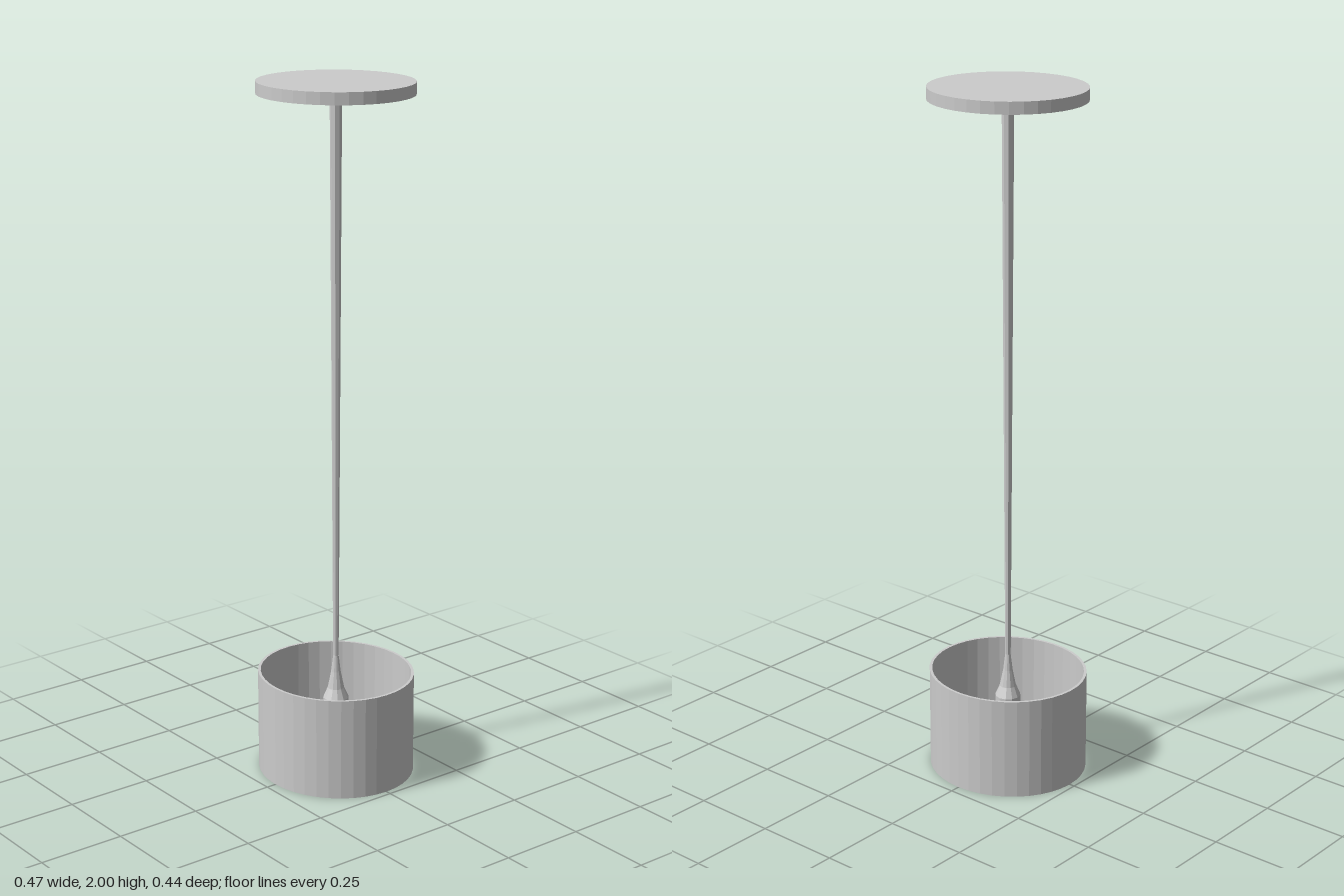
import * as THREE from 'three';

export function createModel() {
  const group = new THREE.Group();
  const material = new THREE.MeshStandardMaterial({ color: 0xcccccc });
  const flat = new THREE.MeshStandardMaterial({ color: 0xcccccc, flatShading: true, side: THREE.DoubleSide });

  const add = (name, geometry, mat = flat) => {
    const mesh = new THREE.Mesh(geometry, mat);
    mesh.name = name;
    group.add(mesh);
    return mesh;
  };
  const lathe = (points, segments) =>
    new THREE.LatheGeometry(points.map(([r, y]) => new THREE.Vector2(r, y)), segments);

  // Ceiling canopy: a thin, slightly oval disc
  const canopy = add('canopy', new THREE.CylinderGeometry(0.222, 0.222, 0.034, 36));
  canopy.position.y = 1.983;
  canopy.scale.z = 0.965;

  // Small gusset between canopy and rod
  const fin = new THREE.Shape([
    new THREE.Vector2(-0.1, 1.968), new THREE.Vector2(-0.01, 1.936), new THREE.Vector2(-0.01, 1.968),
  ]);
  const gusset = add('gusset', new THREE.ExtrudeGeometry(fin, { depth: 0.012, bevelEnabled: false }));
  gusset.position.z = -0.006;

  // Hanging rod, tapering downward
  const rod = add('rod', new THREE.CylinderGeometry(0.017, 0.008, 1.64, 8));
  rod.position.y = 1.15;

  // Flared lamp holder
  add('lampHolder', lathe([[0, 0.17], [0.037, 0.17], [0.037, 0.215], [0.024, 0.245],
    [0.014, 0.295], [0.008, 0.345], [0, 0.345]], 12));

  // Bulb
  add('bulb', lathe([[0, 0.035], [0.024, 0.041], [0.044, 0.058], [0.055, 0.085],
    [0.054, 0.112], [0.044, 0.142], [0.034, 0.175], [0, 0.175]], 16), material);

  // Drum shade, open at top and bottom, with a thin wall
  const shade = add('shade', lathe([[0.226, 0], [0.234, 0], [0.234, 0.298], [0.226, 0.298], [0.226, 0]], 40));
  shade.scale.z = 0.942;

  return group;
}
